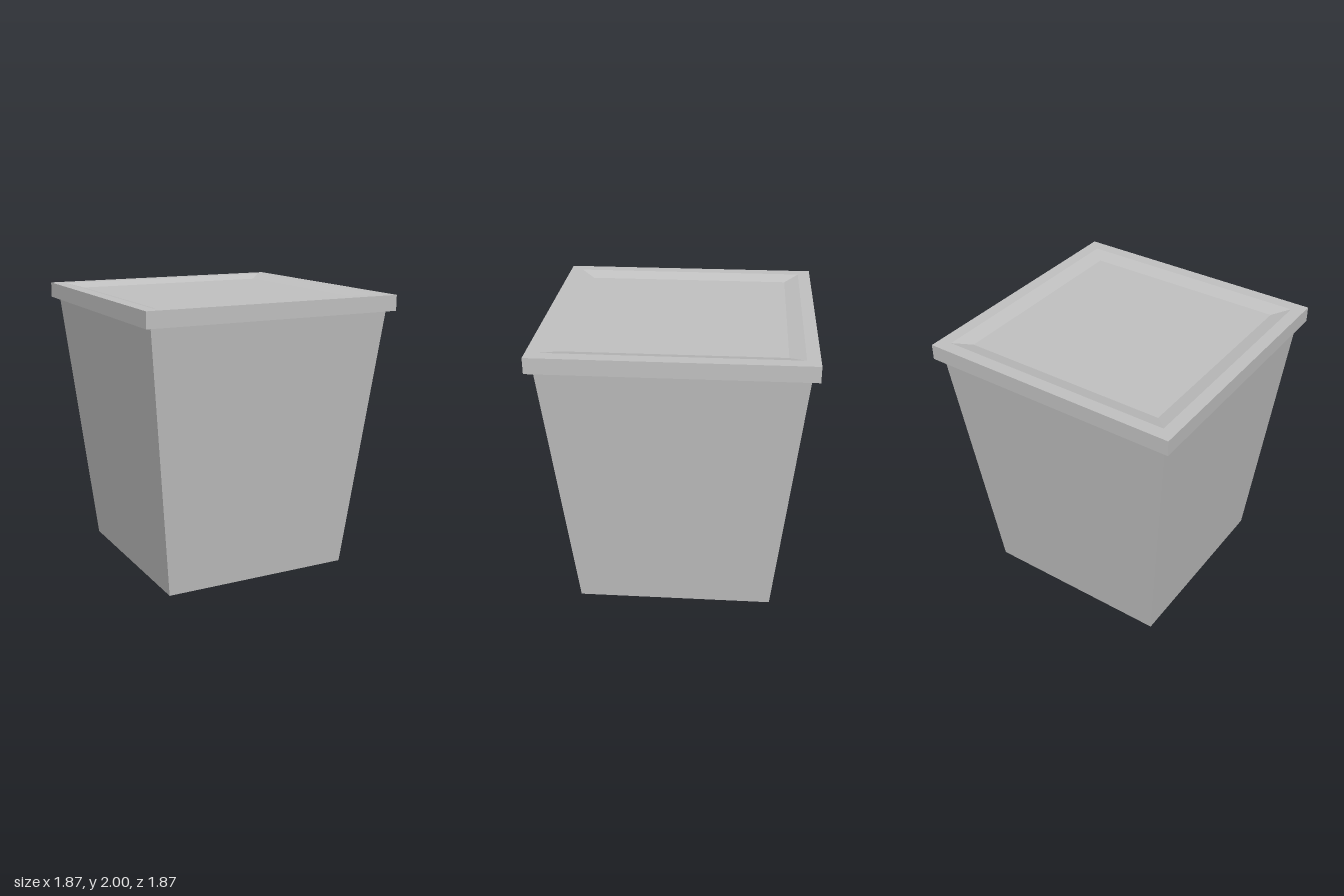
import * as THREE from 'three';

// Square solid of revolution: each point is [half-width, height], listed bottom to top
function squareLathe(name, profile, material) {
  const points = profile.map(([half, y]) => new THREE.Vector2(half * Math.SQRT2, y));
  const geometry = new THREE.LatheGeometry(points, 4, Math.PI / 4).toNonIndexed();
  geometry.computeVertexNormals(); // flat faces with sharp edges
  const mesh = new THREE.Mesh(geometry, material);
  mesh.name = name;
  return mesh;
}

export function createModel() {
  const group = new THREE.Group();
  group.name = 'squarePlanter';

  const grey = new THREE.MeshStandardMaterial({ color: 0xc0c0c0 });
  grey.name = 'grey';

  // Tapered pot with a closed base
  group.add(squareLathe('pot', [[0, 0], [0.695, 0], [0.885, 1.89]], grey));

  // Overhanging rim, sloping inward to the recess
  group.add(squareLathe('rim', [
    [0.885, 1.89], [0.935, 1.89], [0.935, 2], [0.845, 2], [0.74, 1.97],
  ], grey));

  // Flat floor of the shallow recess
  const floor = new THREE.Mesh(new THREE.PlaneGeometry(1.48, 1.48), grey);
  floor.name = 'recessFloor';
  floor.rotation.x = -Math.PI / 2;
  floor.position.y = 1.97;
  group.add(floor);

  return group;
}
